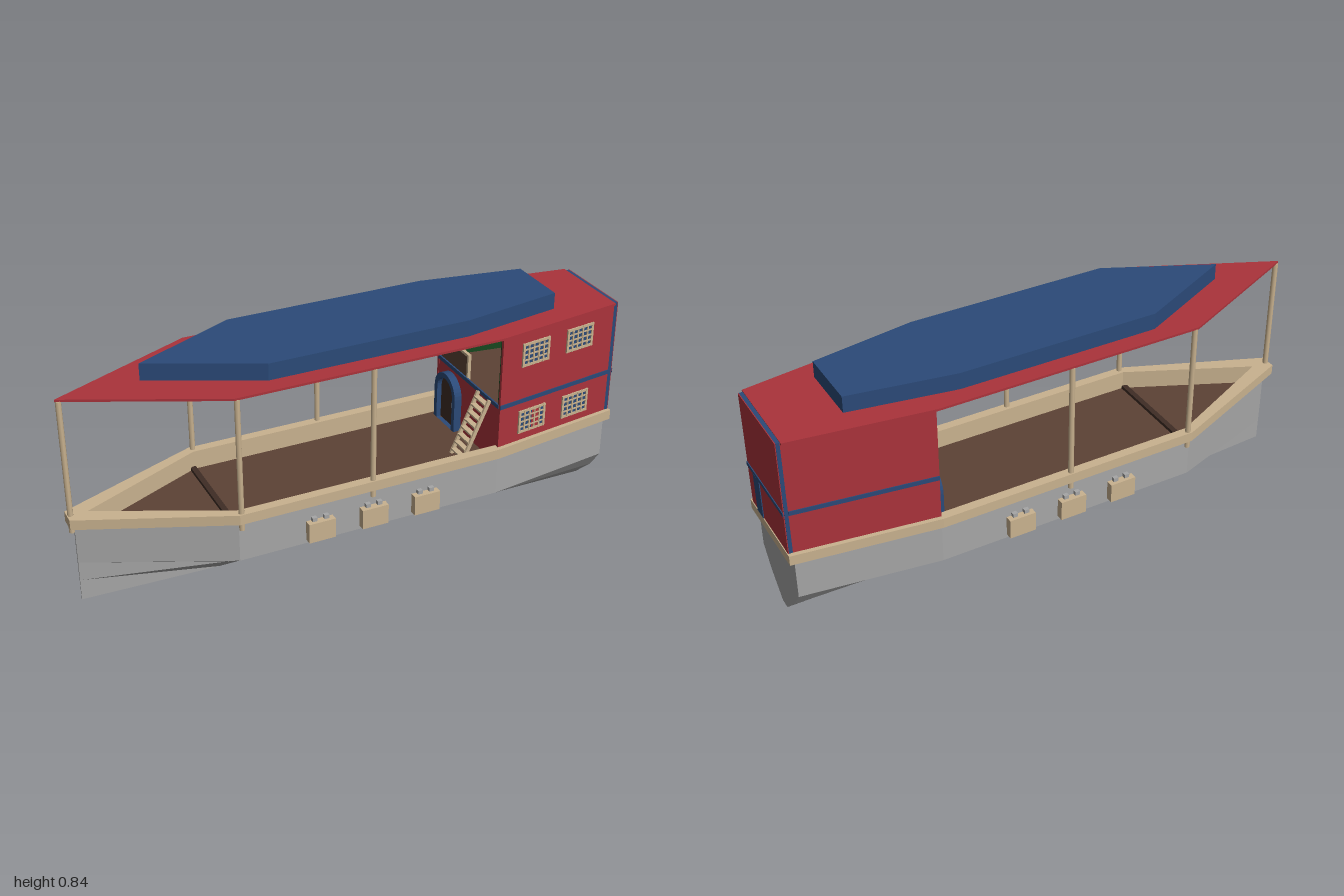
import * as THREE from 'three';

const mat = (name, color, extra = {}) => {
  const m = new THREE.MeshStandardMaterial({ color, ...extra });
  m.name = name;
  return m;
};

export function createModel() {
  const red = mat('red paint', 0xab333b);
  const blue = mat('blue paint', 0x2b4a78);
  const tan = mat('pale wood', 0xc9b28f);
  const grey = mat('grey hull', 0xa6a6a6);
  const brown = mat('deck brown', 0x5c4235);
  const green = mat('dark green', 0x17481f);
  const dark = mat('dark wood', 0x3f2d25);

  const boat = new THREE.Group();
  boat.name = 'houseboat';
  const add = (name, geo, material, parent = boat) => {
    const mesh = new THREE.Mesh(geo, material);
    mesh.name = name;
    parent.add(mesh);
    return mesh;
  };
  const box = (name, material, w, h, d, x, y, z, parent) => {
    const mesh = add(name, new THREE.BoxGeometry(w, h, d), material, parent);
    mesh.position.set(x, y, z);
    return mesh;
  };
  // upright prism over a plan outline of [x, z] points
  const prism = (name, material, pts, y0, y1, hole) => {
    const toVec = (p) => p.map(([x, z]) => new THREE.Vector2(x, -z));
    const shape = new THREE.Shape(toVec(pts));
    if (hole) shape.holes.push(new THREE.Path(toVec(hole)));
    const geo = new THREE.ExtrudeGeometry(shape, { depth: y1 - y0, bevelEnabled: false });
    geo.rotateX(-Math.PI / 2).translate(0, y0, 0);
    return add(name, geo, material);
  };
  // symmetric plan outline from its +z half, bow to stern
  const plan = (half) => [...half, ...half.slice().reverse().filter((p) => p[1] > 0).map(([x, z]) => [x, -z])];

  // hull from four cross-sections: x, side half-width, bilge half-width, keel half-width
  const sections = [[-0.98, 0.004, 0.003, 0.002], [-0.49, 0.225, 0.115, 0.02],
    [0.49, 0.225, 0.115, 0.02], [0.98, 0.157, 0.105, 0.02]].map(([x, w, m, k]) => {
    const half = [[w, 0.305], [w, 0.152], [m, 0.08], [k, 0]];
    return [...half, ...half.slice().reverse().map(([z, y]) => [-z, y])].map(([z, y]) => [x, y, z]);
  });
  const v = [];
  for (let i = 0; i < 3; i++) {
    for (let j = 0; j < 7; j++) {
      const a = sections[i][j], b = sections[i][j + 1], c = sections[i + 1][j + 1], d = sections[i + 1][j];
      v.push(...a, ...b, ...c, ...a, ...c, ...d);
    }
  }
  for (const [s, flip] of [[sections[3], false], [sections[0], true]]) {
    for (let j = 1; j < 7; j++) v.push(...s[0], ...s[flip ? j + 1 : j], ...s[flip ? j : j + 1]);
  }
  const hull = new THREE.BufferGeometry();
  hull.setAttribute('position', new THREE.Float32BufferAttribute(v, 3));
  hull.computeVertexNormals();
  add('hull', hull, grey);

  // gunwale, inner bulwark and deck
  const inner = plan([[-0.93, 0], [-0.485, 0.207], [0.49, 0.207], [0.96, 0.142]]);
  prism('gunwale', tan, plan([[-1, 0.03], [-0.49, 0.241], [0.49, 0.241], [1, 0.17]]), 0.303, 0.34, inner);
  prism('bulwarkLining', tan, plan([[-0.965, 0], [-0.488, 0.22], [0.49, 0.22], [0.975, 0.15]]), 0.265, 0.304, inner);
  prism('deck', brown, plan([[-0.95, 0], [-0.487, 0.216], [0.49, 0.216], [0.97, 0.148]]), 0.258, 0.27);
  box('bowStep', dark, 0.02, 0.012, 0.41, -0.49, 0.276, 0);

  // roof and raised upper roof
  prism('roof', red, plan([[-1, 0], [-0.49, 0.236], [0.49, 0.236], [0.98, 0.166]]), 0.764, 0.772);
  prism('upperRoof', blue, plan([[-0.72, 0], [-0.35, 0.177], [0.38, 0.177], [0.755, 0.115]]), 0.776, 0.836);
  prism('roofSpacer', blue, plan([[-0.6, 0], [-0.33, 0.14], [0.37, 0.14], [0.72, 0.09]]), 0.77, 0.778);

  // roof posts
  const posts = [[-0.988, 0]];
  for (const x of [-0.48, 0]) posts.push([x, 0.228], [x, -0.228]);
  for (const [x, z] of posts) {
    add('roofPost', new THREE.CylinderGeometry(0.01, 0.01, 0.49, 8), tan).position.set(x, 0.52, z);
  }

  // cabin walls, stripes and green lining of the upper room
  for (const s of [1, -1]) {
    const strip = (name, material, out, inn, y0, y1) => prism(name, material,
      [[0.49, s * (0.225 + out)], [0.981, s * (0.157 + out)], [0.981, s * (0.157 + inn)], [0.49, s * (0.225 + inn)]], y0, y1);
    strip('cabinSideWall', red, 0, -0.012, 0.305, 0.766);
    strip('sideStripe', blue, 0.003, -0.002, 0.49, 0.506);
    strip('upperRoomLining', green, -0.012, -0.016, 0.496, 0.764);
  }
  box('upperRoomBackLining', green, 0.004, 0.268, 0.29, 0.976, 0.63, 0);
  prism('upperFloor', brown, plan([[0.492, 0.212], [0.978, 0.145]]), 0.484, 0.496);
  box('cabinFrontWall', red, 0.012, 0.225, 0.43, 0.497, 0.3775, 0);
  box('frontStripe', blue, 0.006, 0.015, 0.43, 0.49, 0.497, 0);

  // stern wall with blue edge, stripe and door panel
  box('sternEdge', blue, 0.014, 0.43, 0.314, 0.987, 0.555, 0);
  box('sternWall', red, 0.003, 0.43, 0.312, 0.9955, 0.555, 0);
  box('sternStripe', blue, 0.003, 0.015, 0.314, 0.9985, 0.498, 0);
  box('sternDoor', blue, 0.003, 0.15, 0.053, 0.9985, 0.415, 0.078);

  // lattice windows on the front side
  const slope = 0.068 / 0.49;
  for (const [x, y, row] of [[0.632, 0.678, 1], [0.828, 0.678, 1], [0.632, 0.415, 0], [0.828, 0.415, 0]]) {
    const win = new THREE.Group();
    win.name = 'window';
    win.position.set(x, y, 0.225 - (x - 0.49) * slope);
    win.rotation.y = Math.atan(slope);
    boat.add(win);
    box('pane', blue, 0.112, 0.084, 0.004, 0, 0, 0.001, win);
    if (!row && x < 0.7) box('redPane', red, 0.032, 0.08, 0.004, 0.016, 0, 0.002, win);
    for (let i = 0; i < 6; i++) {
      const w = i % 5 ? 0.006 : 0.009;
      box('verticalBar', tan, w, 0.09, 0.006, -0.055 + i * 0.022, 0, 0.004, win);
    }
    for (let i = 0; i < 5; i++) {
      box('crossBar', tan, 0.119, i % 4 ? 0.005 : 0.009, 0.005, 0, -0.04 + i * 0.02, 0.004, win);
    }
  }

  // arched cabin door facing the bow
  const arch = (C, w, h) => {
    const p = new C();
    p.moveTo(-w, 0);
    p.lineTo(w, 0);
    p.lineTo(w, h);
    p.absarc(0, h, w, 0, Math.PI, false);
    p.lineTo(-w, 0);
    return p;
  };
  const door = new THREE.Group();
  door.name = 'archedDoor';
  door.position.set(0.492, 0.27, -0.115);
  door.rotation.y = -Math.PI / 2;
  boat.add(door);
  const frame = arch(THREE.Shape, 0.075, 0.13);
  frame.holes.push(arch(THREE.Path, 0.055, 0.13));
  add('doorFrame', new THREE.ExtrudeGeometry(frame, { depth: 0.03, bevelEnabled: false, curveSegments: 8 }), blue, door);
  add('doorLeaf', new THREE.ExtrudeGeometry(arch(THREE.Shape, 0.056, 0.13),
    { depth: 0.012, bevelEnabled: false, curveSegments: 8 }), dark, door);
  box('doorHandle', grey, 0.008, 0.02, 0.01, 0.04, 0.09, 0.016, door);

  // balcony rail at the open upper room
  box('balconyPanel', brown, 0.008, 0.09, 0.2, 0.497, 0.541, -0.11);
  box('balconyRail', tan, 0.012, 0.01, 0.2, 0.497, 0.59, -0.11);
  box('balconyPost', tan, 0.012, 0.1, 0.01, 0.497, 0.545, -0.01);

  // ladder up to the upper room
  const ladder = new THREE.Group();
  ladder.name = 'ladder';
  ladder.position.set(0.433, 0.385, 0.125);
  ladder.rotation.z = -Math.atan2(0.1, 0.23);
  boat.add(ladder);
  for (const z of [-0.038, 0.038]) box('ladderRail', tan, 0.014, 0.25, 0.008, 0, 0, z, ladder);
  for (let i = 0; i < 8; i++) {
    box('ladderStep', tan, 0.02, 0.007, 0.076, 0, -0.105 + i * 0.03, 0, ladder).rotation.z = -ladder.rotation.z;
  }

  // boxes hung on the hull sides with small hooks
  for (const s of [1, -1]) {
    for (const x of [-0.2, 0, 0.2]) {
      box('sideBox', tan, 0.098, 0.074, 0.028, x, 0.203, s * 0.238);
      for (const dx of [-0.022, 0.022]) box('boxHook', grey, 0.018, 0.014, 0.018, x + dx, 0.247, s * 0.231);
    }
  }
  return boat;
}
